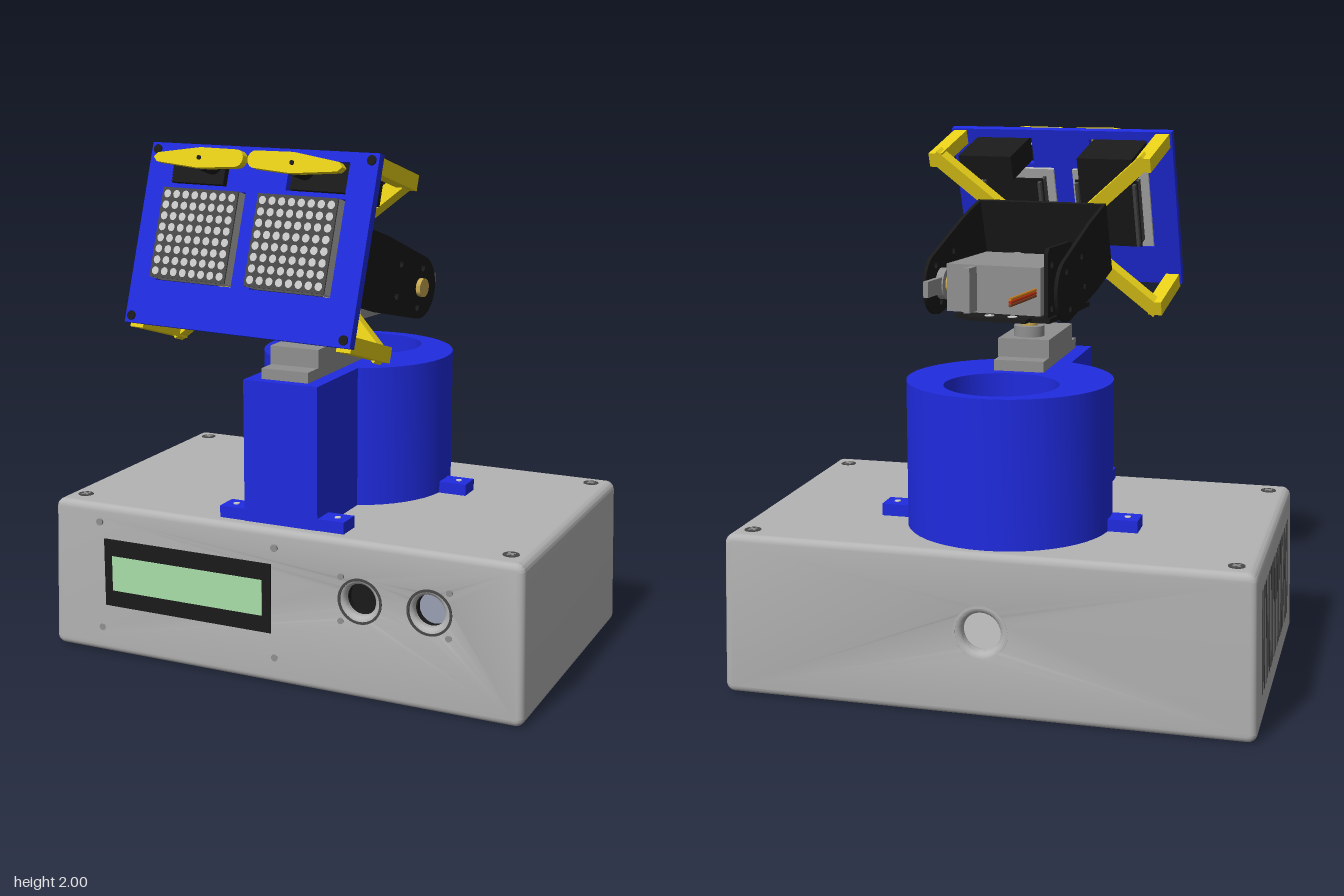
import * as THREE from 'three';
import { mergeGeometries, toCreasedNormals } from 'three/addons/utils/BufferGeometryUtils.js';

const mat = (color) => new THREE.MeshStandardMaterial({ color, side: THREE.DoubleSide });
const GREY = mat(0xb4b4b4), STEEL = mat(0x909090), PALE = mat(0xe8e8e8), BLUE = mat(0x1f2be0), BLACK = mat(0x1a1a1a),
  YELLOW = mat(0xe8d018), GREEN = mat(0xaadfaa), GOLD = mat(0xc8a850), LENS = mat(0x9aa0b4), DARK = mat(0x484848);

function add(parent, name, geo, material, x = 0, y = 0, z = 0) {
  const m = new THREE.Mesh(geo, material);
  m.name = name;
  m.position.set(x, y, z);
  parent.add(m);
  return m;
}
// Box given by its min/max on each axis
function box(parent, name, material, [x0, x1], [y0, y1], [z0, z1]) {
  return add(parent, name, new THREE.BoxGeometry(x1 - x0, y1 - y0, z1 - z0), material,
    (x0 + x1) / 2, (y0 + y1) / 2, (z0 + z1) / 2);
}
// Cylinder along a chosen axis
function disc(parent, name, material, r, len, axis, x, y, z, seg = 24) {
  const g = new THREE.CylinderGeometry(r, r, len, seg);
  if (axis === 'z') g.rotateX(Math.PI / 2);
  if (axis === 'x') g.rotateZ(Math.PI / 2);
  return add(parent, name, toCreasedNormals(g, 0.6), material, x, y, z);
}
function circle(x, y, r) {
  return new THREE.Path().absarc(x, y, r, 0, Math.PI * 2, true);
}
function rect(Type, x0, x1, y0, y1, r = 0) {
  const s = new Type();
  if (!r) return s.setFromPoints([[x0, y0], [x1, y0], [x1, y1], [x0, y1], [x0, y0]].map((p) => new THREE.Vector2(...p)));
  s.absarc(x1 - r, y0 + r, r, -Math.PI / 2, 0);
  s.absarc(x1 - r, y1 - r, r, 0, Math.PI / 2);
  s.absarc(x0 + r, y1 - r, r, Math.PI / 2, Math.PI);
  s.absarc(x0 + r, y0 + r, r, Math.PI, Math.PI * 1.5);
  return s.closePath() ?? s;
}
function extrude(shape, depth, bevel = 0) {
  return toCreasedNormals(new THREE.ExtrudeGeometry(shape, {
    depth, curveSegments: 24, bevelEnabled: bevel > 0, bevelSize: bevel, bevelThickness: bevel,
    bevelOffset: -bevel, bevelSegments: 4 }), 0.6);
}
// Short pipe along z, its front at z
function collar(parent, name, material, rIn, rOut, len, x, y, z) {
  const s = new THREE.Shape().absarc(0, 0, rOut, 0, Math.PI * 2);
  s.holes.push(circle(0, 0, rIn));
  return add(parent, name, extrude(s, len), material, x, y, z - len);
}

function buildCase(root) {
  const g = new THREE.Group();
  g.name = 'case';
  root.add(g);
  // Walls narrow slightly towards the top
  const taper = (geo, z) => {
    geo.translate(0, 0, z);
    const p = geo.attributes.position;
    for (let i = 0; i < p.count; i++) {
      const k = 1 - 0.016 * p.getY(i) / 0.6;
      p.setX(i, p.getX(i) * k);
      p.setZ(i, -0.165 + (p.getZ(i) + 0.165) * k);
    }
    return geo;
  };
  const outline = () => rect(THREE.Shape, -0.975, 0.975, 0, 0.6, 0.035);
  const shell = outline(), front = outline(), back = outline();
  shell.holes.push(rect(THREE.Path, -0.945, 0.945, 0.03, 0.57));
  front.holes.push(circle(0.345, 0.375, 0.06), circle(0.615, 0.375, 0.06));
  back.holes.push(circle(0, 0.31, 0.07));
  add(g, 'caseShell', taper(extrude(shell, 1.13), -0.73), GREY);
  add(g, 'frontWall', taper(extrude(front, 0.01, 0.025), 0.395), GREY);
  add(g, 'backWall', taper(extrude(back, 0.01, 0.025), -0.735), GREY);
  collar(g, 'cableHoleRim', GREY, 0.092, 0.1, 0.05, 0, 0.31, -0.706);
  disc(g, 'cupUnderside', BLUE, 0.37, 0.01, 'y', 0, 0.56, -0.335, 48);

  // Display
  box(g, 'displayBezel', BLACK, [-0.735, -0.015], [0.195, 0.465], [0.4, 0.43]);
  box(g, 'displayScreen', GREEN, [-0.7, -0.05], [0.26, 0.4], [0.41, 0.432]);
  for (const x of [-0.755, 0]) for (const y of [0.1, 0.53]) disc(g, 'displayScrew', STEEL, 0.014, 0.02, 'z', x, y, 0.42, 12);

  // Round sensor sockets
  [[0.345, BLACK], [0.615, LENS]].forEach(([x, lens]) => {
    collar(g, 'sensorRim', DARK, 0.078, 0.087, 0.14, x, 0.375, 0.427);
    disc(g, 'sensorLens', lens, 0.078, 0.01, 'z', x, 0.375, 0.36);
    collar(g, 'sensorRing', BLACK, 0.06, 0.078, 0.02, x, 0.375, 0.385);
  });
  for (const x of [0.27, 0.69]) for (const y of [0.29, 0.46]) disc(g, 'sensorScrew', STEEL, 0.012, 0.02, 'z', x, y, 0.42, 12);

  // Lid screws with crossed slots
  for (const x of [-0.88, 0.88]) for (const z of [-0.67, 0.325]) {
    disc(g, 'lidScrew', DARK, 0.03, 0.01, 'y', x, 0.597, z);
    for (const a of [Math.PI / 4, -Math.PI / 4]) {
      add(g, 'screwSlot', new THREE.BoxGeometry(0.035, 0.004, 0.008), STEEL, x, 0.602, z).rotation.y = a;
    }
  }
  // Vent slits on one side
  for (let i = 0; i < 17; i++) {
    add(g, 'ventSlit', new THREE.BoxGeometry(0.012, 0.38, 0.024), DARK, -0.963, 0.31, -0.6 + i * 0.054).rotation.z = -0.026;
  }
}

function buildStand(root) {
  const cup = new THREE.Shape().absarc(0, 0.335, 0.377, 0, Math.PI * 2);
  cup.holes.push(circle(0, 0.455, 0.207));
  add(root, 'cup', extrude(cup, 0.54).rotateX(-Math.PI / 2), BLUE, 0, 0.6, 0);
  disc(root, 'cupFloor', PALE, 0.21, 0.01, 'y', 0, 0.605, -0.455, 32);
  box(root, 'supportBlock', BLUE, [-0.15, 0.15], [0.6, 1.14], [-0.1, 0.37]);
  for (const s of [-1, 1]) {
    for (const [x, z] of [[0.43, -0.33], [0.2, 0.32]]) {
      add(root, 'mountTab', new THREE.BoxGeometry(0.11, 0.045, 0.095), BLUE, s * x, 0.6225, z);
      disc(root, 'tabScrew', PALE, 0.012, 0.004, 'y', s * (x + 0.01), 0.646, z, 12);
    }
  }
  // Pan servo
  box(root, 'panServoFlange', STEEL, [-0.095, 0.095], [1.14, 1.18], [-0.21, 0.33]);
  box(root, 'panServoBody', STEEL, [-0.098, 0.098], [1.18, 1.25], [-0.14, 0.25]);
  disc(root, 'panHorn', STEEL, 0.058, 0.05, 'y', 0, 1.265, -0.05);
  disc(root, 'panShaft', GOLD, 0.032, 0.04, 'y', 0, 1.3, -0.05);
  disc(root, 'panDisc', STEEL, 0.06, 0.03, 'y', 0, 1.328, -0.05);
}

function buildTiltServo(pan) {
  box(pan, 'bracketBase', BLACK, [-0.17, 0.2], [1.34, 1.358], [-0.24, 0.2]);
  for (const [z0, z1] of [[-0.3, -0.2], [0.16, 0.27]]) {
    box(pan, 'bracketTab', BLACK, [-0.1, 0.14], [1.345, 1.358], [z0, z1]);
    for (const x of [-0.03, 0.06]) disc(pan, 'tabHole', PALE, 0.018, 0.004, 'y', x, 1.359, (z0 + z1) / 2, 16);
  }
  const wall = rect(THREE.Shape, -0.23, 0.03, 1.34, 1.61, 0.025);
  for (const z of [-0.19, -0.01]) for (const y of [1.39, 1.55]) wall.holes.push(circle(z, y, 0.015));
  add(pan, 'bracketWall', extrude(wall, 0.015).rotateY(-Math.PI / 2), BLACK, -0.145);
  box(pan, 'tiltServoBody', STEEL, [-0.12, 0.25], [1.358, 1.535], [-0.2, 0.185]);
  box(pan, 'tiltServoFlange', STEEL, [0.13, 0.155], [1.365, 1.53], [-0.27, 0.25]);
  disc(pan, 'tiltShaft', GOLD, 0.035, 0.12, 'x', 0.3, 1.445, -0.1);
  disc(pan, 'tiltHorn', STEEL, 0.06, 0.03, 'x', 0.3, 1.445, -0.1);
  box(pan, 'tiltHornArm', STEEL, [0.29, 0.31], [1.415, 1.475], [-0.28, -0.1]);
  [0xd08020, 0xc03010, 0x804020].forEach((c, i) => {
    disc(pan, 'cableWire', mat(c), 0.006, 0.26, 'z', -0.1, 1.455 - i * 0.011, -0.32, 8);
  });
}

function buildHead(pan) {
  const head = new THREE.Group();
  head.name = 'head';
  head.position.set(0.075, 1.445, -0.1);
  head.rotation.x = -0.3;
  pan.add(head);

  // U-shaped tilt bracket
  const arm = new THREE.Shape().absarc(0, 0, 0.118, Math.PI / 2, Math.PI * 1.5);
  arm.lineTo(0.3, -0.14).lineTo(0.49, -0.14).lineTo(0.49, 0.14).lineTo(0.3, 0.14).lineTo(0, 0.118);
  for (const [z, y] of [[0.17, 0.06], [0.17, -0.06], [0, 0.075], [0, -0.075]]) arm.holes.push(circle(z, y, 0.014));
  for (const x of [-0.253, 0.267]) add(head, 'tiltArm', extrude(arm, 0.014).rotateY(-Math.PI / 2), BLACK, x);
  box(head, 'tiltArmBase', BLACK, [-0.267, 0.267], [-0.14, 0.14], [0.476, 0.492]);

  // Spider frame holding the panel
  box(head, 'frameHub', YELLOW, [-0.2, 0.2], [-0.11, 0.11], [0.492, 0.53]);
  disc(head, 'frameHubHole', BLACK, 0.035, 0.006, 'z', 0, 0, 0.53);
  for (const sx of [-1, 1]) for (const sy of [-1, 1]) {
    const spoke = add(head, 'frameSpoke', new THREE.BoxGeometry(0.37, 0.055, 0.05), YELLOW, sx * 0.3, sy * 0.195, 0.515);
    spoke.rotation.z = sx * sy * Math.atan2(0.21, 0.24);
    box(head, 'framePost', YELLOW, [sx * 0.43 - 0.028, sx * 0.43 + 0.028], [sy * 0.3 - 0.028, sy * 0.3 + 0.028], [0.49, 0.765]);
    disc(head, 'panelScrew', BLACK, 0.017, 0.01, 'z', sx * 0.44, sy * 0.3 + 0.01, 0.79, 16);
  }

  // Face panel
  const panel = rect(THREE.Shape, -0.467, 0.467, -0.315, 0.335);
  for (const s of [-1, 1]) {
    panel.holes.push(rect(THREE.Path, s * 0.24 - 0.118, s * 0.24 + 0.118, 0.192, 0.3),
      rect(THREE.Path, s * 0.2 - 0.162, s * 0.2 + 0.162, -0.155, 0.175));
  }
  add(head, 'facePanel', extrude(panel, 0.03), BLUE, 0, 0, 0.76);

  // Dotted eye displays, brow servos and brows
  const brow = new THREE.Shape().absarc(0, 0, 0.03, -Math.PI / 2, Math.PI / 2);
  brow.lineTo(-0.15, 0.036).lineTo(-0.33, 0.016).lineTo(-0.345, 0).lineTo(-0.33, -0.016).lineTo(-0.15, -0.036);
  for (const s of [-1, 1]) {
    const x = s * 0.2;
    box(head, 'eyeBody', GREY, [x - 0.16, x + 0.16], [-0.15, 0.17], [0.755, 0.825]);
    box(head, 'eyeFace', DARK, [x - 0.16, x + 0.16], [-0.15, 0.17], [0.825, 0.83]);
    box(head, 'eyeBoard', BLACK, [x - 0.13, x + 0.13], [-0.13, 0.15], [0.7, 0.706]);
    for (const px of [-0.12, 0.12]) box(head, 'eyePins', DARK, [x + px - 0.006, x + px + 0.006], [-0.12, 0.14], [0.68, 0.76]);
    const dots = [];
    for (let i = 0; i < 64; i++) {
      dots.push(new THREE.CircleGeometry(0.0145, 12).translate(x - 0.137 + (i % 8) * 0.0391, -0.127 + Math.floor(i / 8) * 0.0391, 0.8315));
    }
    add(head, 'eyeDots', mergeGeometries(dots), PALE);

    box(head, 'browServo', BLACK, [s * 0.25 - 0.112, s * 0.25 + 0.112], [0.197, 0.295], [0.56, 0.79]);
    disc(head, 'browAxle', BLACK, 0.035, 0.08, 'z', s * 0.19, 0.265, 0.82);
    const b = add(head, 'brow', extrude(brow, 0.03), YELLOW, s * 0.04, 0.275, 0.85);
    if (s > 0) b.rotation.y = Math.PI, b.position.z = 0.88;
    b.rotation.z = 0.03;
    disc(head, 'browPin', BLACK, 0.008, 0.006, 'z', s * 0.19, 0.27, 0.882, 12);
  }
}

export function createModel() {
  const root = new THREE.Group();
  root.name = 'robot';
  buildCase(root);
  buildStand(root);
  const pan = new THREE.Group();
  pan.name = 'panHead';
  pan.position.z = -0.05;
  pan.rotation.y = -0.118;
  root.add(pan);
  buildTiltServo(pan);
  buildHead(pan);
  return root;
}
